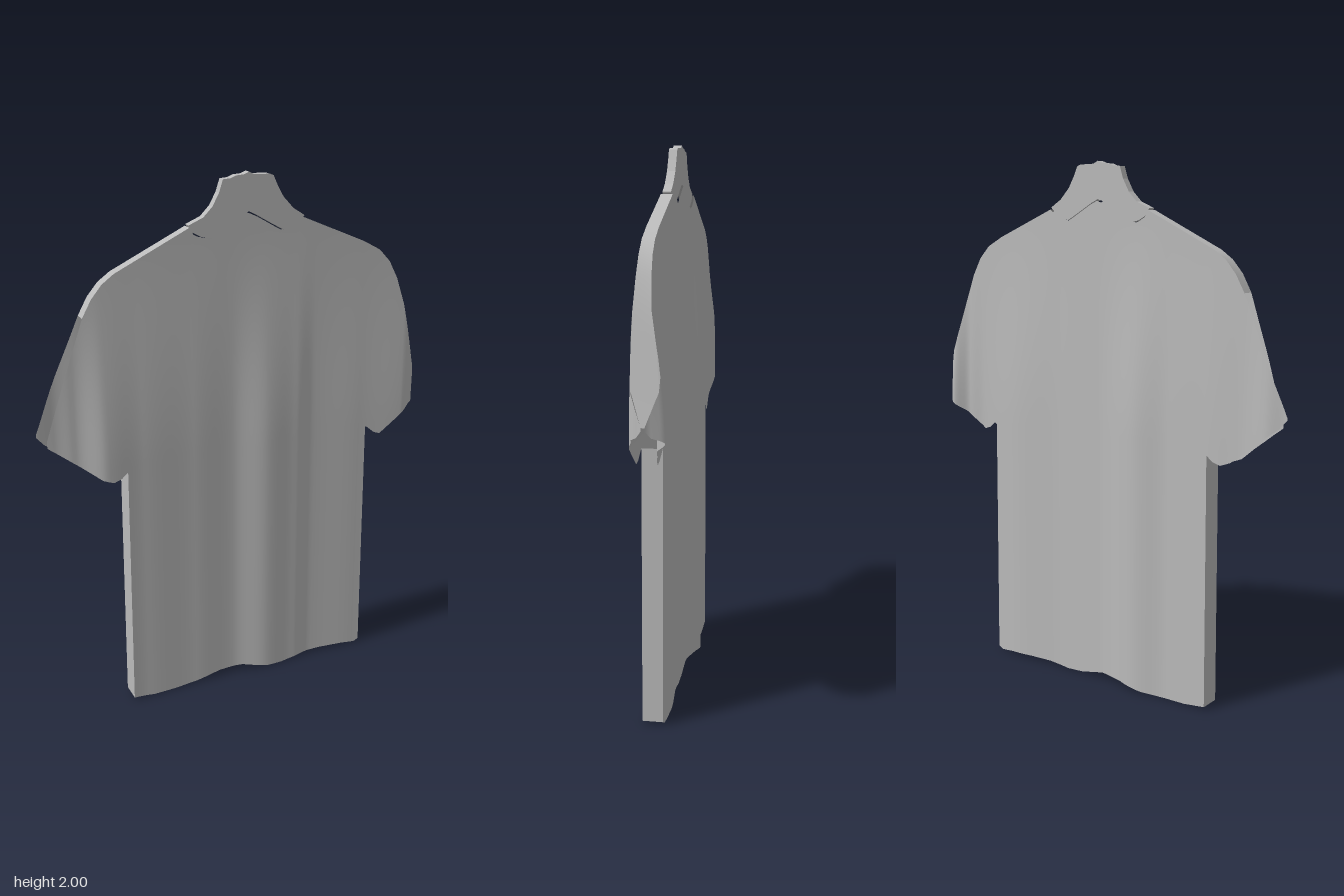
import * as THREE from 'three';

// Height of a polyline of [x, value] points at x; smooth = eased between points
function lookup(pts, x, smooth = false) {
  if (x <= pts[0][0]) return pts[0][1];
  for (let i = 1; i < pts.length; i++) {
    const [x0, v0] = pts[i - 1], [x1, v1] = pts[i];
    if (x <= x1) {
      let t = (x - x0) / (x1 - x0);
      if (smooth) t = t * t * (3 - 2 * t);
      return v0 + (v1 - v0) * t;
    }
  }
  return pts[pts.length - 1][1];
}

// Outline pieces, each running from -x to +x
const collar = [[-0.2, 1.825], [-0.185, 1.8], [-0.155, 1.783], [-0.125, 1.776], [-0.1, 1.787], [-0.04, 1.83],
  [0, 1.848], [0.03, 1.857], [0.06, 1.843], [0.12, 1.808], [0.17, 1.78], [0.21, 1.787], [0.25, 1.825]];
const shoulderR = [[-0.6, 1.55], [-0.565, 1.613], [-0.525, 1.66], [-0.48, 1.692], [-0.2, 1.825]];
const shoulderL = [[0.25, 1.825], [0.5, 1.718], [0.57, 1.68], [0.615, 1.632], [0.65, 1.565], [0.685, 1.46]];
const sleeveEdgeL = [[0.71, 1.35], [0.74, 1.21], [0.768, 1.1]];
const body = [...shoulderR, ...collar.slice(1), ...shoulderL.slice(1), ...sleeveEdgeL];
const topFront = [[-0.745, 1.12], [-0.68, 1.32], ...body];
const topBack = [[-0.775, 1.14], [-0.69, 1.345], ...body];
const cuffR = [[-0.775, 1.13], [-0.745, 1.095], [-0.56, 0.955], [-0.52, 0.94], [-0.49, 0.95], [-0.465, 0.97]];
const cuffL = [[0.53, 0.985], [0.57, 0.952], [0.595, 0.944], [0.69, 1.015], [0.755, 1.065], [0.768, 1.09]];
const hem = [[-0.465, 0.015], [-0.38, 0.005], [-0.28, 0.004], [-0.2, 0.01], [-0.1, 0.027], [0, 0.028],
  [0.1, 0.007], [0.17, 0.003], [0.26, 0.013], [0.35, 0.015], [0.45, 0.012], [0.51, 0.005], [0.53, 0.015]];

// Depth of the cloth folds across the width
const foldsFront = [[-0.775, 0.02], [-0.72, 0.022], [-0.65, 0.032], [-0.54, 0.066], [-0.4, 0.056], [-0.2, 0.046],
  [-0.04, 0.036], [0.1, 0.06], [0.22, 0.05], [0.3, 0.037], [0.5, 0.045], [0.69, 0.052], [0.74, 0.035], [0.77, -0.005]];
const foldsBack = [[-0.775, -0.008], [-0.7, -0.026], [-0.6, -0.012], [-0.46, -0.02], [-0.3, -0.022], [-0.16, -0.047],
  [0.02, -0.016], [0.2, -0.018], [0.42, -0.036], [0.6, -0.024], [0.67, -0.035], [0.73, -0.075], [0.77, -0.015]];

// Folds grow from nothing at the neck to full depth at the cuffs
const strength = y => 1 - THREE.MathUtils.smoothstep(y, 1.0, 1.8);
const zFront = (x, y) => 0.03 + (lookup(foldsFront, x, true) - 0.03) * strength(y);
const zBack = (x, y) => -0.012 + (lookup(foldsBack, x, true) + 0.012) * strength(y);
// The body widens slightly towards the hem
const flare = (x, y) => x * (1 + 0.018 * THREE.MathUtils.clamp(0.97 - y, 0, 1));

function makeGeometry(positions, index, normals) {
  const g = new THREE.BufferGeometry();
  g.setAttribute('position', new THREE.Float32BufferAttribute(positions, 3));
  g.setIndex(index);
  if (normals) g.setAttribute('normal', new THREE.Float32BufferAttribute(normals, 3));
  else g.computeVertexNormals();
  return g;
}

// Cloth panel in columns between a top and a bottom outline
function panel(x0, x1, top, bottom, depth, facing, rows) {
  const xs = new Set([x0, x1]);
  for (let x = x0; x < x1; x += 0.0125) xs.add(x);
  for (const [x] of [...top, ...bottom]) if (x > x0 && x < x1) xs.add(x);
  const cols = [...xs].sort((a, b) => a - b);
  const pos = [], nor = [], idx = [], e = 0.008;
  cols.forEach((x, i) => {
    const yb = lookup(bottom, x), yt = Math.max(lookup(top, x), yb + 0.001);
    for (let j = 0; j <= rows; j++) {
      const y = yb + (yt - yb) * j / rows;
      pos.push(flare(x, y), y, depth(x, y));
      const n = new THREE.Vector3(
        -(depth(x + e, y) - depth(x - e, y)) / (2 * e),
        -(depth(x, y + e) - depth(x, y - e)) / (2 * e), 1).normalize().multiplyScalar(facing);
      nor.push(n.x, n.y, n.z);
      if (i && j) {
        const d = i * (rows + 1) + j, c = d - 1, b = d - rows - 1, a = b - 1;
        if (facing > 0) idx.push(a, c, d, a, d, b);
        else idx.push(a, d, c, a, b, d);
      }
    }
  });
  return makeGeometry(pos, idx, nor);
}

// Narrow strip joining front and back cloth along a clockwise path
function seam(path) {
  const pos = [], idx = [];
  path.forEach(([x, y], i) => {
    const fx = flare(x, y);
    pos.push(fx, y, zFront(x, y), fx, y, zBack(x, y));
    if (i) {
      const a = 2 * i - 2;
      idx.push(a, a + 2, a + 3, a, a + 3, a + 1);
    }
  });
  return makeGeometry(pos, idx);
}

export function createModel() {
  const model = new THREE.Group();
  const cloth = new THREE.MeshStandardMaterial({ color: 0xbababa, side: THREE.DoubleSide });
  cloth.name = 'grey cloth';
  const add = (name, geometry) => {
    const mesh = new THREE.Mesh(geometry, cloth);
    mesh.name = name;
    model.add(mesh);
    return mesh;
  };

  // Front and back sheets, each a body with two sleeves
  for (const [side, top, depth, facing, start] of [
    ['front', topFront, zFront, 1, -0.745], ['back', topBack, zBack, -1, -0.775]]) {
    add(side + 'Body', panel(-0.465, 0.53, top, hem, depth, facing, 40));
    add(side + 'RightSleeve', panel(start, -0.465, top, cuffR, depth, facing, 16));
    add(side + 'LeftSleeve', panel(0.53, 0.768, top, cuffL, depth, facing, 16));
  }

  // Shoulder, sleeve and side seams; cuffs and hem stay open
  add('rightShoulderSeam', seam(shoulderR));
  add('leftShoulderSeam', seam([...shoulderL, ...sleeveEdgeL]));
  const steps = Array.from({ length: 13 }, (_, i) => i / 12);
  add('rightSideSeam', seam(steps.map(t => [-0.465, 0.015 + 0.955 * t])));
  add('leftSideSeam', seam(steps.map(t => [0.53, 0.985 - 0.97 * t])));

  // Flat neck piece rising out of the collar
  const neckTop = [[0.25, 1.833], [0.205, 1.862], [0.165, 1.905], [0.142, 1.945], [0.125, 1.982], [0.11, 1.988],
    [0.05, 1.99], [0.03, 2], [0.01, 1.992], [-0.02, 1.99], [-0.04, 1.982], [-0.07, 1.98], [-0.085, 1.935],
    [-0.11, 1.89], [-0.145, 1.855], [-0.2, 1.832]];
  const outline = [...collar.map(([x, y]) => [x, y + 0.006]), ...neckTop].map(p => new THREE.Vector2(...p));
  const neck = add('neckPiece', new THREE.ExtrudeGeometry(new THREE.Shape(outline), { depth: 0.03, bevelEnabled: false }));
  neck.position.z = -0.006;

  return model;
}
